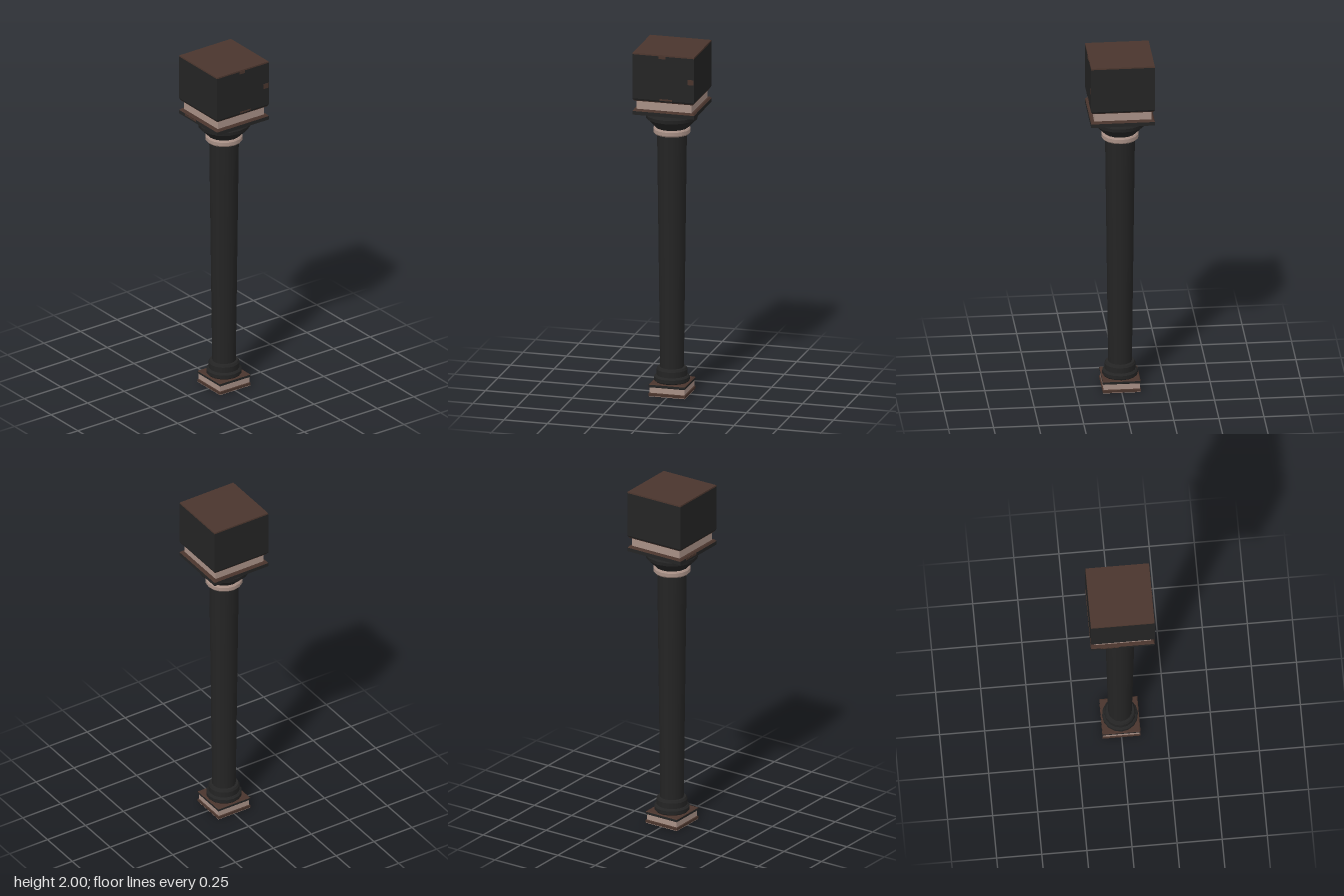
import * as THREE from 'three';

const material = (name, color) => {
  const m = new THREE.MeshStandardMaterial({ color });
  m.name = name;
  return m;
};

export function createModel() {
  const column = new THREE.Group();
  column.name = 'column';
  const black = material('blackStone', 0x242424);
  const brown = material('brownStone', 0x4a352d);
  const pink = material('paleStone', 0xa89086);

  const add = (name, geometry, mat, x = 0, y = 0, z = 0) => {
    const mesh = new THREE.Mesh(geometry, mat);
    mesh.name = name;
    mesh.position.set(x, y, z);
    column.add(mesh);
    return mesh;
  };

  // Square tier: profile of [half width, height], bottom to top, flat faces
  const square = (name, profile, mat) => {
    const pts = profile.map(([h, y]) => new THREE.Vector2(h * Math.SQRT2, y));
    const g = new THREE.LatheGeometry(pts, 4, Math.PI / 4).toNonIndexed();
    g.computeVertexNormals();
    return add(name, g, mat);
  };

  // Round tier: each profile section is smooth around, creased between sections
  const round = (name, profile, mat) => {
    for (let i = 0; i < profile.length - 1; i++) {
      const pts = [profile[i], profile[i + 1]].map(([r, y]) => new THREE.Vector2(r, y));
      add(name, new THREE.LatheGeometry(pts, 16), mat);
    }
  };

  // Square plinth
  square('plinthFoot', [[0.072, 0.004], [0.105, 0.004], [0.105, 0.018], [0.098, 0.022], [0, 0.022]], brown);
  square('plinthUnderside', [[0, 0.001], [0.104, 0.001], [0.104, 0.004]], pink);
  square('plinthUndersidePanel', [[0, 0], [0.07, 0], [0.07, 0.001]], brown);
  square('plinthBand', [[0.1, 0.02], [0.1, 0.055]], pink);
  square('plinthSlab', [[0, 0.052], [0.1, 0.052], [0.105, 0.056], [0.105, 0.068]], black);
  square('plinthTop', [[0.105, 0.068], [0.1, 0.072], [0, 0.072]], brown);

  // Round base mouldings
  round('baseMoulding', [
    [0.092, 0.07], [0.099, 0.078], [0.099, 0.098], [0.09, 0.106],
    [0.086, 0.108], [0.086, 0.14], [0.079, 0.152], [0.06, 0.154],
  ], black);

  // Shaft, widening upward
  round('shaft', [[0.066, 0.14], [0.083, 1.51]], black);

  // Pale collar under the capital
  round('collar', [
    [0.08, 1.5], [0.098, 1.502], [0.104, 1.51], [0.104, 1.53], [0.098, 1.538], [0.07, 1.54],
  ], pink);

  // Flared capital
  round('capitalBowl', [
    [0.088, 1.535], [0.112, 1.56], [0.144, 1.592], [0.147, 1.612], [0.132, 1.637], [0.13, 1.648],
  ], black);

  // Slab, pale neck and top block
  square('capitalSlab', [[0, 1.643], [0.177, 1.643], [0.177, 1.664]], black);
  square('capitalSlabTop', [[0.177, 1.664], [0.17, 1.673], [0, 1.673]], brown);
  square('capitalNeck', [[0.158, 1.67], [0.158, 1.725]], pink);
  square('blockLowerEdge', [[0, 1.722], [0.168, 1.722], [0.172, 1.728]], brown);
  square('topBlock', [[0.172, 1.728], [0.177, 1.737], [0.177, 1.992]], black);
  square('blockCap', [[0.177, 1.992], [0.176, 2], [0, 2]], brown);

  // Worn chips showing the brown stone
  const chip = (w, h, d, x, y, z) => add('wornChip', new THREE.BoxGeometry(w, h, d), brown, x, y, z);
  chip(0.1, 0.01, 0.002, -0.07, 1.658, 0.177);
  chip(0.002, 0.03, 0.035, 0.177, 1.855, -0.157);
  chip(0.002, 0.016, 0.04, 0.177, 1.985, 0.005);
  chip(0.002, 0.01, 0.07, 0.177, 1.741, -0.015);
  return column;
}
